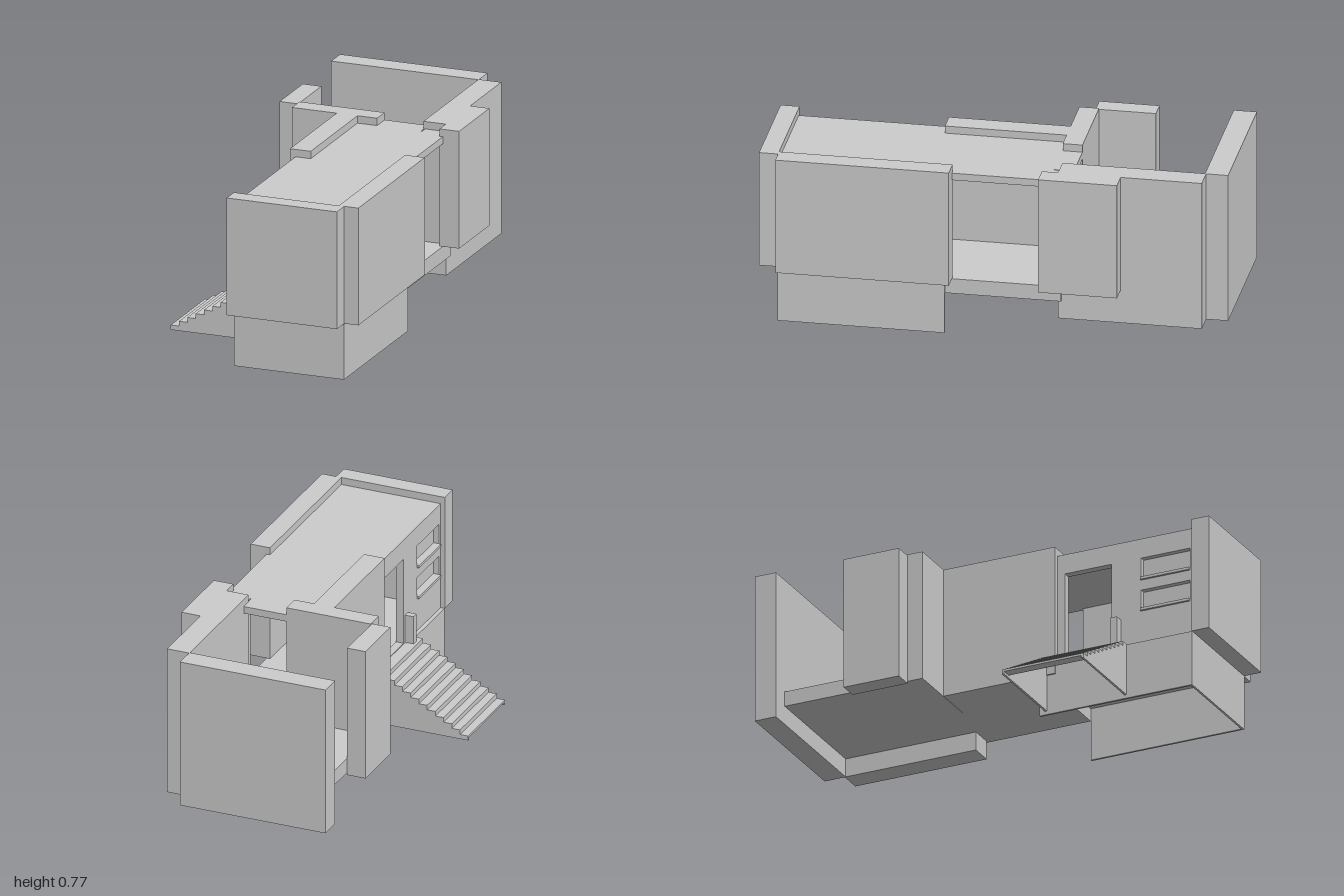
import * as THREE from 'three';

const material = new THREE.MeshStandardMaterial({ color: 0xcccccc, flatShading: true });

export function createModel() {
  const model = new THREE.Group();
  model.name = 'house';

  const add = (name, geometry) => {
    const mesh = new THREE.Mesh(geometry, material);
    mesh.name = name;
    model.add(mesh);
    return mesh;
  };

  // Block given by its extents along x, y and z
  const block = (name, [x0, x1], [y0, y1], [z0, z1]) => {
    const g = new THREE.BoxGeometry(x1 - x0, y1 - y0, z1 - z0);
    g.translate((x0 + x1) / 2, (y0 + y1) / 2, (z0 + z1) / 2);
    return add(name, g);
  };

  const floorY = 0.25, roofY = 0.74, topY = 0.773;

  // Hollow base under the front room, open below and at the back
  block('baseFrontWall', [-0.078, 0.425], [0, floorY], [0.91, 0.92]);
  block('baseLeftWall', [0.415, 0.425], [0, floorY], [0.2, 0.92]);
  block('baseRightWall', [-0.078, -0.068], [0, floorY], [0.2, 0.92]);

  // Floors
  block('frontFloor', [-0.078, 0.425], [0.24, floorY], [0.2, 0.92]);
  block('middleFloor', [-0.08, 0.415], [0.182, floorY], [-0.3, 0.2]);
  block('backFloor', [-0.29, 0.3], [0.182, floorY], [-0.9, -0.3]);

  // Outer slab walls
  block('frontWall', [-0.08, 0.425], [floorY, topY], [0.918, 1]);
  block('frontSidePanel', [0.4, 0.49], [floorY, topY], [0.17, 0.918]);
  block('rearSidePanel', [0.4, 0.49], [floorY, topY], [-0.555, -0.215]);
  block('backSideWall', [0.298, 0.402], [0.098, topY], [-0.905, -0.285]);
  block('doorPier', [0.305, 0.4], [0.182, roofY], [-0.285, -0.25]);
  block('backWall', [-0.375, 0.3], [0.098, topY], [-1, -0.9]);
  block('backPanel', [-0.375, -0.29], [0.17, 0.768], [-0.58, -0.32]);

  // Corner walls between the rooms
  block('crossWall', [-0.29, 0.1], [0.18, topY], [-0.335, -0.25]);
  block('passageWall', [-0.085, 0.01], [0.182, topY], [-0.25, 0.275]);

  // Roof set below the wall tops
  block('frontRoof', [-0.06, 0.4], [0.708, roofY], [0.17, 0.918]);
  block('middleRoof', [-0.06, 0.415], [0.708, roofY], [-0.25, 0.17]);
  block('roofOverDoorway', [0.1, 0.3], [0.708, roofY], [-0.335, -0.25]);

  // Entrance facade with a doorway and two window slots
  const rect = (Type, z0, z1, y0, y1) => {
    const s = new Type();
    s.moveTo(z0, y0).lineTo(z1, y0).lineTo(z1, y1).lineTo(z0, y1).closePath();
    return s;
  };
  const windows = [[0.41, 0.5], [0.555, 0.65]];
  const facade = rect(THREE.Shape, 0.275, 0.918, floorY, roofY);
  facade.holes.push(rect(THREE.Path, 0.31, 0.53, floorY + 0.004, 0.65));
  for (const [y0, y1] of windows) facade.holes.push(rect(THREE.Path, 0.67, 0.9, y0, y1));
  const facadeGeo = new THREE.ExtrudeGeometry(facade, { depth: 0.035, bevelEnabled: false });
  facadeGeo.rotateY(-Math.PI / 2).translate(-0.025, 0, 0);
  add('entranceFacade', facadeGeo);
  for (const [y0, y1] of windows) {
    block('windowPane', [-0.035, -0.028], [y0, y1], [0.67, 0.9]);
    block('windowSill', [-0.07, -0.035], [y0 - 0.008, y0 + 0.004], [0.67, 0.9]);
  }
  block('doorPost', [-0.1, -0.06], [floorY, 0.38], [0.545, 0.575]);

  // Staircase: stepped slab between two thin side walls
  const steps = 11, x0 = -0.495, run = 0.0381, rise = 0.0215, y0 = 0.037, end = -0.07;
  const tops = [];
  for (let i = 0; i < steps; i++) {
    const y = y0 + i * rise;
    tops.push([x0 + i * run, y], [i === steps - 1 ? end : x0 + (i + 1) * run, y]);
  }
  const extrudeStairs = (name, points, z, depth) => {
    const shape = new THREE.Shape(points.map(([x, y]) => new THREE.Vector2(x, y)));
    const g = new THREE.ExtrudeGeometry(shape, { depth, bevelEnabled: false });
    add(name, g.translate(0, 0, z));
  };
  const outline = [[end, 0.016], [x0, 0.016], ...tops];
  extrudeStairs('stairSideBack', outline, 0.225, 0.01);
  extrudeStairs('stairSideFront', outline, 0.6, 0.01);
  const under = tops.map(([x, y]) => [Math.min(x + 0.008, end), y - 0.01]).reverse();
  extrudeStairs('stairTreads', [[x0, 0.027], ...tops, ...under], 0.235, 0.365);

  return model;
}
